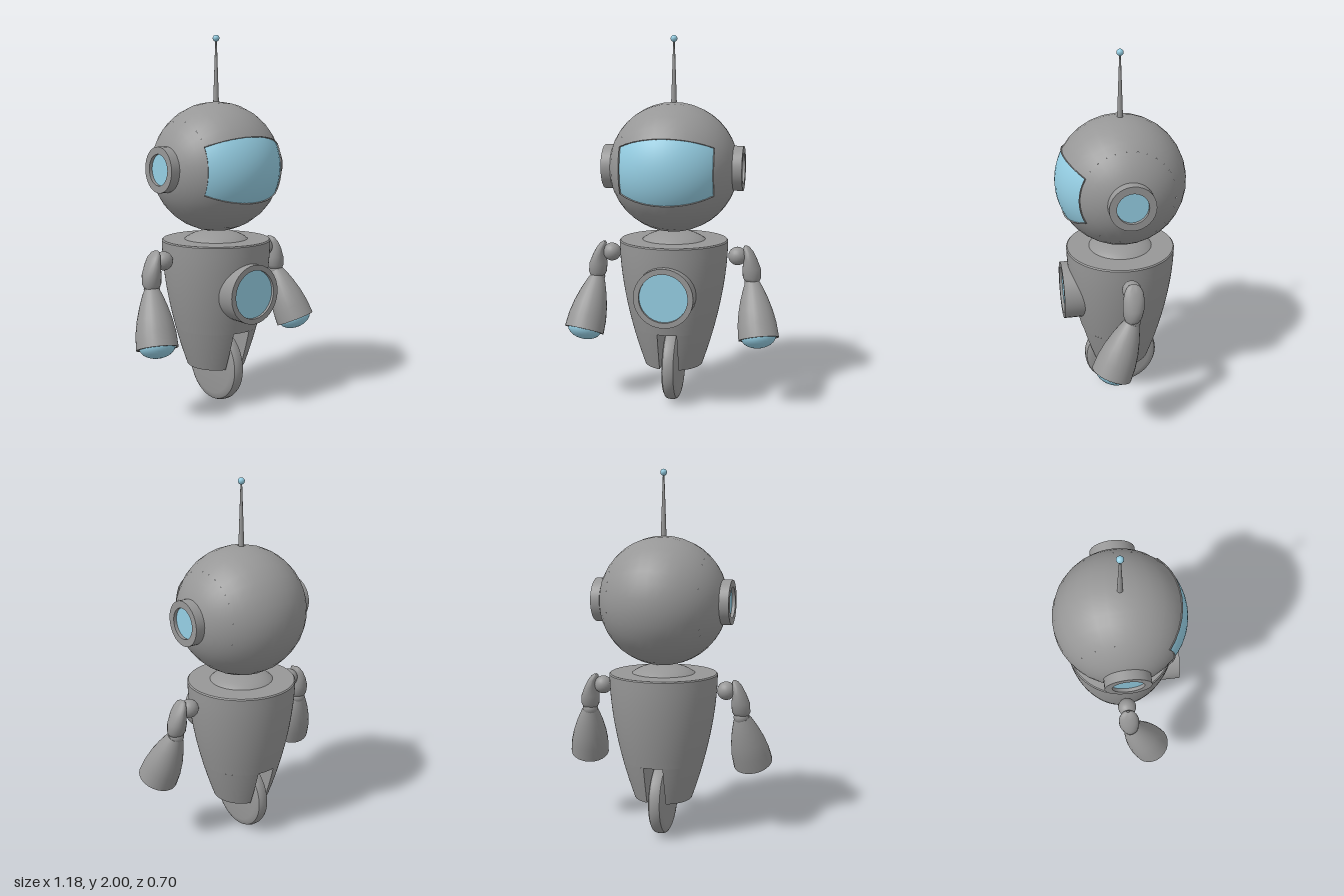
import * as THREE from 'three';
import { toCreasedNormals } from 'three/addons/utils/BufferGeometryUtils.js';
import { ParametricGeometry } from 'three/addons/geometries/ParametricGeometry.js';

const grey = new THREE.MeshStandardMaterial({ color: 0x979797 });
const blue = new THREE.MeshStandardMaterial({ color: 0x95cee3 });
const V = (x, y, z) => new THREE.Vector3(x, y, z);

function add(parent, name, geometry, x = 0, y = 0, z = 0, material = grey) {
  const mesh = new THREE.Mesh(geometry, material);
  mesh.name = name;
  mesh.position.set(x, y, z);
  parent.add(mesh);
  return mesh;
}

// Turned part: profile of [radius, height] pairs, running upwards on the outside
const turned = (profile, sides = 32) =>
  toCreasedNormals(new THREE.LatheGeometry(profile.map(p => new THREE.Vector2(...p)), sides), 0.6);

// Skin over a list of closed rings of points
function skin(rings, crease) {
  const n = rings[0].length, index = [];
  for (let i = 0; i < rings.length - 1; i++) {
    for (let j = 0; j < n; j++) {
      const a = i * n + j, b = i * n + (j + 1) % n;
      index.push(a, a + n, b, b, a + n, b + n);
    }
  }
  const g = new THREE.BufferGeometry().setFromPoints(rings.flat());
  g.setIndex(index);
  return toCreasedNormals(g, crease);
}

// Ring-shaped port with a recessed blue pane, facing +y
function port(name, radius, hole, back, front, recess) {
  const g = new THREE.Group();
  g.name = name;
  add(g, name + 'Ring', turned([[0, back], [radius, back], [radius, front], [hole, front], [hole, front - recess - 0.01]]));
  add(g, name + 'Pane', new THREE.CircleGeometry(hole, 32).rotateX(-Math.PI / 2), 0, front - recess, 0, blue);
  return g;
}

function buildHead() {
  const head = new THREE.Group();
  head.name = 'head';
  head.position.y = 1.302;
  const R = 0.349, H = Math.asin(0.244 / R), P = 0.505;
  // Sphere patch with its poles on the x axis
  const patch = (r, segs, rows, phi, phiLen, th, thLen) =>
    new THREE.SphereGeometry(r, segs, rows, phi, phiLen, th, thLen).rotateZ(-Math.PI / 2);
  const T = Math.PI / 2 - H;
  const start = Math.PI / 2 + P, around = Math.PI * 2;
  add(head, 'headLeftSide', patch(R, 30, 5, start, around, 0, T));
  add(head, 'headRightSide', patch(R, 30, 5, start, around, Math.PI - T, T));
  add(head, 'headBand', patch(R, 25, 10, start, around - 2 * P, T, 2 * H));
  add(head, 'visor', patch(0.348, 10, 12, Math.PI / 2 - P, 2 * P, T, 2 * H), 0, 0, 0, blue);

  // Raised frame round the visor
  const corners = [[1, -1], [1, 1], [-1, 1], [-1, -1]];
  const frameRing = ([r, e]) => {
    const pts = [];
    corners.forEach((c, k) => {
      const d = corners[(k + 1) % 4];
      for (let i = 0; i < 10; i++) {
        const t = i / 10;
        const side = (c[0] + (d[0] - c[0]) * t) * (H + e);
        const lift = (c[1] + (d[1] - c[1]) * t) * (P + e);
        pts.push(V(Math.sin(side), Math.cos(side) * Math.sin(lift), Math.cos(side) * Math.cos(lift)).multiplyScalar(r));
      }
    });
    return pts;
  };
  add(head, 'visorFrame', skin([[0.335, 0], [0.355, 0.002], [0.353, 0.013], [0.335, 0.014]].map(frameRing), 0.6));

  // Ears
  for (const s of [1, -1]) {
    const ear = port(s > 0 ? 'leftEar' : 'rightEar', 0.12, 0.082, 0.28, 0.378, 0.018);
    ear.rotation.z = -s * Math.PI / 2;
    head.add(ear);
  }

  // Antenna
  add(head, 'antennaRod', new THREE.CylinderGeometry(0.004, 0.016, 0.35, 16), 0, 0.503, 0);
  add(head, 'antennaTip', new THREE.SphereGeometry(0.018, 16, 12), 0, 0.68, 0, blue);
  return head;
}

function buildBody() {
  const body = new THREE.Group();
  body.name = 'body';
  const top = 0.91, split = 0.425, base = 0.21, slot = 0.053;
  const radius = y => 0.297 - 0.137 * Math.pow((top - y) / 0.7, 1.8);
  const profile = [[0, split]];
  for (let i = 0; i <= 10; i++) {
    const y = split + (top - 0.006 - split) * i / 10;
    profile.push([radius(y), y]);
  }
  add(body, 'torso', turned([...profile, [0.291, top], [0, top]], 80));
  add(body, 'neck', new THREE.SphereGeometry(0.2, 32, 20), 0, 0.86, 0).scale.y = 0.5;

  // Lower torso halves on either side of the wheel slot
  for (const s of [1, -1]) {
    const arc = (u, y, p) => {
      const r = radius(y), a = (2 * u - 1) * Math.acos(slot / r);
      return p.set(s * r * Math.cos(a), y, -s * r * Math.sin(a));
    };
    const level = v => base + (split - base) * v;
    const surfaces = {
      LowerShell: [(u, v, p) => arc(u, level(v), p), 36, 6],
      SlotWall: [(u, v, p) => {
        const w = Math.sqrt(radius(level(v)) ** 2 - slot ** 2);
        p.set(s * slot, level(v), s * (2 * u - 1) * w);
      }, 2, 6],
      LowerCap: [(u, v, p) => {
        arc(u, base, p);
        p.x = s * slot + (p.x - s * slot) * v;
      }, 36, 1],
    };
    for (const [name, args] of Object.entries(surfaces)) {
      add(body, (s > 0 ? 'left' : 'right') + name, toCreasedNormals(new ParametricGeometry(...args), 0.6));
    }
  }

  // Chest window
  const chest = port('chestWindow', 0.158, 0.129, 0.15, 0.33, 0.015);
  chest.rotation.x = Math.PI / 2;
  chest.position.y = 0.653;
  body.add(chest);

  // Wheel and axle
  const half = [[0.165, 0.04], [0.186, 0.037], [0.2, 0.029], [0.207, 0.014]];
  const tyre = [[0, -0.04], ...half.map(([r, y]) => [r, -y]), ...half.slice().reverse(), [0, 0.04]];
  add(body, 'wheel', turned(tyre, 40), 0, 0.207, 0).rotation.z = Math.PI / 2;
  add(body, 'axle', new THREE.CylinderGeometry(0.027, 0.027, 0.17, 16), 0, 0.207, 0).rotation.z = Math.PI / 2;
  return body;
}

function buildArm(s) {
  const arm = new THREE.Group();
  arm.name = s > 0 ? 'leftArm' : 'rightArm';
  add(arm, 'shoulder', new THREE.SphereGeometry(0.05, 20, 14), s * 0.35, 0.825, 0);

  // Upper arm sections: height, x, z, half width, half depth
  const sections = [
    [0.685, 0.432, 0.01, 0.001, 0.001], [0.692, 0.432, 0.01, 0.04, 0.038], [0.712, 0.431, 0.008, 0.05, 0.048],
    [0.76, 0.428, 0.004, 0.05, 0.056], [0.81, 0.421, 0.002, 0.036, 0.056], [0.85, 0.41, 0, 0.026, 0.048],
    [0.875, 0.399, 0, 0.017, 0.032], [0.886, 0.393, 0, 0.004, 0.008],
  ];
  const rings = sections.map(([y, x, z, rx, rz]) => Array.from({ length: 20 }, (_, j) => {
    const a = j / 20 * Math.PI * 2;
    return V(s * x + rx * Math.cos(a), y, z + rz * Math.sin(a));
  }));
  add(arm, 'upperArm', skin(rings, 1));
  add(arm, 'elbow', new THREE.SphereGeometry(0.042, 20, 14), s * 0.432, 0.683, 0.01);

  // Bell-shaped forearm with a blue dome in its mouth
  const start = V(s * 0.435, 0.675, 0.015), axis = V(s * 0.481, 0.404, 0.129).sub(start);
  const L = axis.length();
  const forearm = new THREE.Group();
  forearm.name = 'forearm';
  forearm.position.copy(start);
  forearm.quaternion.setFromUnitVectors(V(0, 1, 0), axis.normalize());
  add(forearm, 'sleeve', turned([[0, -0.01], [0.042, -0.005], [0.053, 0.02], [0.074, 0.08], [0.093, 0.15],
    [0.105, 0.22], [0.109, L], [0.099, L], [0.095, L - 0.02], [0, L - 0.02]], 24));
  add(forearm, 'handDome', new THREE.SphereGeometry(0.094, 24, 16), 0, L - 0.012, 0, blue).scale.y = 0.65;
  arm.add(forearm);
  return arm;
}

export function createModel() {
  const model = new THREE.Group();
  model.name = 'robot';
  model.add(buildHead(), buildBody(), buildArm(1), buildArm(-1));
  return model;
}
